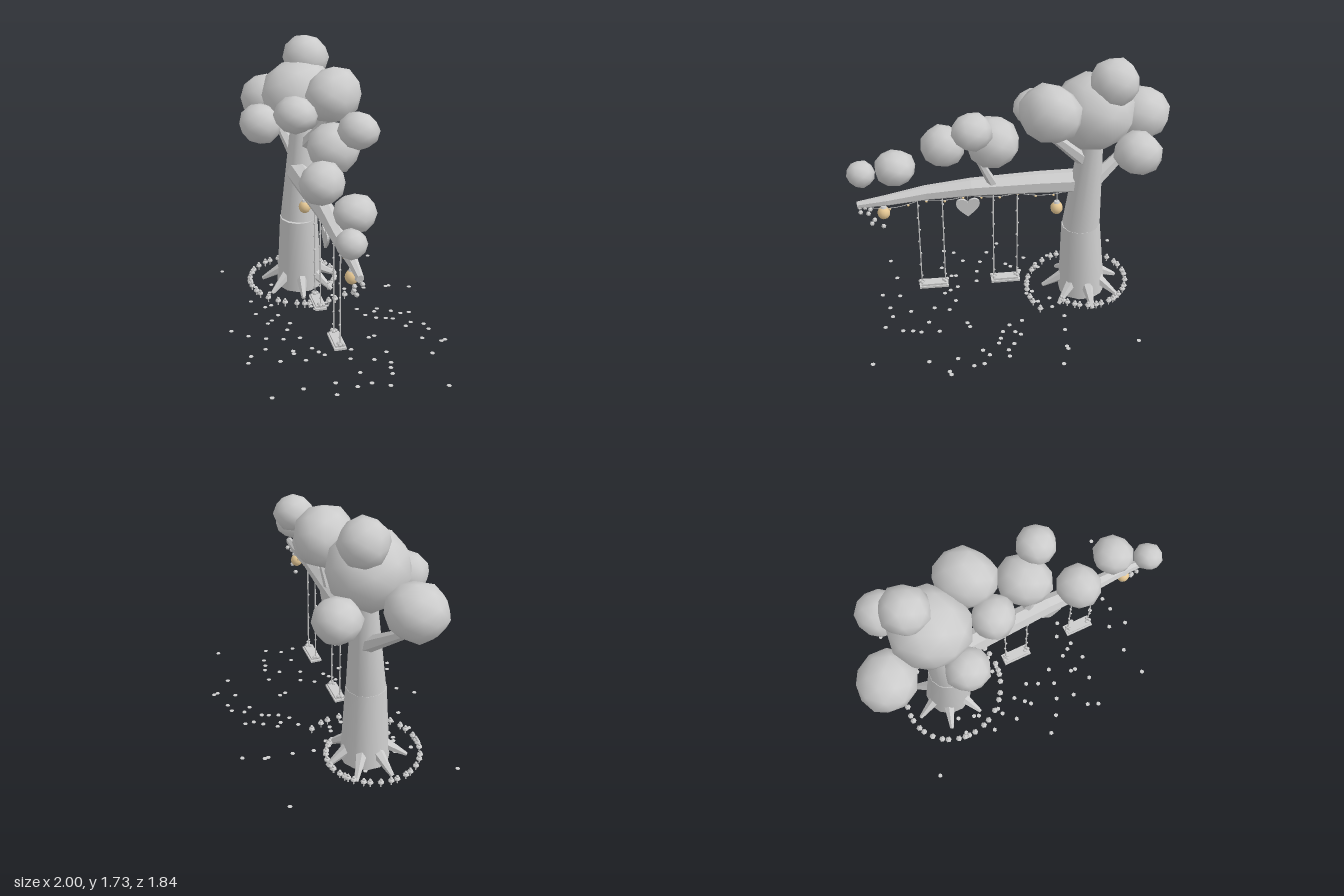
import * as THREE from 'three';
import { mergeVertices } from 'three/addons/utils/BufferGeometryUtils.js';

const V = (x, y, z) => new THREE.Vector3(x, y, z);
const GOLDEN = 2.39996;

export function createModel() {
  const grey = new THREE.MeshStandardMaterial({ color: 0xcccccc });
  grey.name = 'soft grey';
  const amber = new THREE.MeshStandardMaterial({ color: 0xe8ca96 });
  amber.name = 'lantern amber';

  const tree = new THREE.Group();
  tree.name = 'swingTree';

  const add = (name, geo, mat = grey, pos = null, parent = tree) => {
    const m = new THREE.Mesh(geo, mat);
    m.name = name;
    if (pos) m.position.copy(pos);
    parent.add(m);
    return m;
  };
  const group = (name) => {
    const g = new THREE.Group();
    g.name = name;
    tree.add(g);
    return g;
  };
  const flat = (geo) => {
    const g = geo.index ? geo.toNonIndexed() : geo;
    g.computeVertexNormals();
    return g;
  };

  // Tapered limb between two points
  const limb = (name, a, b, ra, rb, sides = 6, parent = tree, faceted = true) => {
    const dir = b.clone().sub(a);
    const geo = new THREE.CylinderGeometry(rb, ra, dir.length(), sides);
    const m = add(name, faceted ? flat(geo) : geo, grey, a.clone().lerp(b, 0.5), parent);
    m.quaternion.setFromUnitVectors(V(0, 1, 0), dir.normalize());
    return m;
  };

  // Faceted sweep with its own radius at each point, closed at both ends
  const sweep = (points, radii, sides) => {
    const pos = [], idx = [], n = points.length;
    points.forEach((p, i) => {
      const d = points[Math.min(i + 1, n - 1)].clone().sub(points[Math.max(i - 1, 0)]).normalize();
      const side = d.clone().cross(V(0, 1, 0)).normalize();
      const up = side.clone().cross(d);
      for (let j = 0; j < sides; j++) {
        const t = (j / sides) * Math.PI * 2;
        const q = p.clone().addScaledVector(side, Math.cos(t) * radii[i]).addScaledVector(up, Math.sin(t) * radii[i]);
        pos.push(q.x, q.y, q.z);
      }
    });
    const first = pos.length / 3, last = (n - 1) * sides;
    pos.push(...points[0].toArray(), ...points[n - 1].toArray());
    for (let j = 0; j < sides; j++) {
      const k = (j + 1) % sides;
      for (let i = 0; i < n - 1; i++) {
        const a = i * sides + j, b = i * sides + k;
        idx.push(a, a + sides, b, b, a + sides, b + sides);
      }
      idx.push(first, j, k, first + 1, last + k, last + j);
    }
    const g = new THREE.BufferGeometry();
    g.setAttribute('position', new THREE.Float32BufferAttribute(pos, 3));
    g.setIndex(idx);
    return flat(g);
  };

  // Trunk in two lengths
  limb('lowerTrunk', V(-0.425, 0.02, -0.31), V(-0.413, 0.535, -0.29), 0.155, 0.125, 12, tree, false);
  limb('upperTrunk', V(-0.413, 0.53, -0.292), V(-0.41, 1.25, -0.345), 0.122, 0.068, 12, tree, false);

  // Roots
  const roots = group('roots');
  for (let i = 0; i < 7; i++) {
    const t = (i / 7) * Math.PI * 2;
    const at = (r, y) => V(-0.425 + Math.cos(t) * r, y, -0.31 + Math.sin(t) * r);
    limb('root', at(0.115, 0.12), at(0.26, 0.025), 0.04, 0.013, 6, roots);
  }

  // Long bough and the smaller branches
  const boughPoints = [V(-0.40, 0.86, -0.27), V(-0.2, 0.87, -0.08), V(0.1, 0.876, 0.2), V(0.3, 0.857, 0.4), V(0.48, 0.83, 0.56), V(0.61, 0.81, 0.69)];
  add('bough', sweep(boughPoints, [0.078, 0.072, 0.06, 0.048, 0.035, 0.022], 7));
  const boughCurve = new THREE.CatmullRomCurve3(boughPoints);
  limb('leftBranch', V(-0.44, 0.88, -0.36), V(-0.77, 1.16, -0.52), 0.05, 0.025);
  limb('rightBranch', V(-0.39, 1.03, -0.32), V(-0.13, 1.3, -0.24), 0.048, 0.03);
  limb('boughBranch', V(0.01, 0.89, 0.09), V(0.14, 1.19, 0.15), 0.032, 0.014);

  // Foliage: slightly uneven low-poly balls, x y z then radii
  const foliage = group('foliage');
  const ball = new THREE.IcosahedronGeometry(1, 1);
  ball.deleteAttribute('normal');
  ball.deleteAttribute('uv');
  const ballGeo = mergeVertices(ball, 1e-3);
  [
    [-0.43, 1.37, -0.34, 0.245, 0.235, 0.25],
    [-0.45, 1.59, -0.455, 0.145, 0.145, 0.15],
    [-0.40, 1.215, -0.675, 0.14, 0.13, 0.145],
    [-0.77, 1.255, -0.47, 0.185, 0.165, 0.175],
    [-0.55, 1.235, -0.07, 0.135, 0.13, 0.135],
    [-0.25, 1.365, -0.02, 0.135, 0.115, 0.13],
    [-0.11, 1.455, -0.24, 0.17, 0.175, 0.195],
    [0.065, 1.24, 0.055, 0.16, 0.155, 0.17],
    [0.24, 1.385, 0.065, 0.122, 0.11, 0.122],
    [0.172, 1.15, 0.36, 0.132, 0.13, 0.14],
    [0.46, 1.083, 0.49, 0.125, 0.107, 0.125],
    [0.555, 1.007, 0.695, 0.085, 0.083, 0.09],
  ].forEach(([x, y, z, a, b, c], n) => {
    const g = ballGeo.clone(), p = g.attributes.position;
    for (let i = 0; i < p.count; i++) {
      const k = 1.01 + 0.035 * Math.sin(i * 2.7 + n * 1.9);
      p.setXYZ(i, p.getX(i) * k * a, p.getY(i) * k * b, p.getZ(i) * k * c);
    }
    g.computeVertexNormals();
    add('leafBall', g, grey, V(x, y, z), foliage);
  });

  // Swings, turned to run along the bough
  const bead = new THREE.IcosahedronGeometry(0.008, 0);
  const knob = new THREE.IcosahedronGeometry(0.013, 0);
  [[-0.055, 0.05], [0.284, 0.382]].forEach(([x, z]) => {
    const swing = group('swing');
    swing.position.set(x, 0, z);
    swing.rotation.y = -Math.PI / 4;
    add('seat', new THREE.BoxGeometry(0.165, 0.014, 0.06), grey, V(0, 0.152, 0), swing);
    add('seatBase', new THREE.BoxGeometry(0.19, 0.014, 0.075), grey, V(0, 0.138, 0), swing);
    for (const s of [-0.077, 0.077]) {
      limb('rope', V(s, 0.15, 0), V(s, 0.83, 0), 0.0045, 0.0045, 6, swing, false);
      for (let i = 0; i < 7; i++) add('ropeBud', bead, grey, V(s + (i % 2 ? 0.004 : -0.004), 0.21 + i * 0.092, 0.003), swing);
      for (const [dx, dz] of [[-0.012, 0.008], [0.012, 0.004], [0, -0.012]]) add('seatFlower', knob, grey, V(s + dx, 0.165, dz), swing);
    }
  });

  // Hanging heart
  const h = new THREE.Shape();
  h.moveTo(0, -0.068);
  h.bezierCurveTo(-0.035, -0.035, -0.075, -0.005, -0.075, 0.03);
  h.bezierCurveTo(-0.075, 0.07, -0.015, 0.075, 0, 0.035);
  h.bezierCurveTo(0.015, 0.075, 0.075, 0.07, 0.075, 0.03);
  h.bezierCurveTo(0.075, -0.005, 0.035, -0.035, 0, -0.068);
  const heartGeo = new THREE.ExtrudeGeometry(h, { depth: 0.016, bevelEnabled: false, curveSegments: 8 });
  heartGeo.translate(0, 0, -0.008);
  const heart = add('heart', heartGeo, grey, V(0.108, 0.722, 0.222));
  heart.rotation.y = -Math.PI / 4;
  limb('heartCord', V(0.108, 0.75, 0.222), V(0.108, 0.83, 0.222), 0.003, 0.003, 5);

  // Lanterns with cap and cord
  [[-0.293, 0.672, -0.18], [0.495, 0.738, 0.58]].forEach(([x, y, z]) => {
    const lantern = group('lantern');
    const glow = add('lanternGlow', new THREE.SphereGeometry(0.04, 12, 8), amber, V(x, y, z), lantern);
    glow.scale.y = 1.1;
    add('lanternCap', new THREE.CylinderGeometry(0.016, 0.022, 0.012, 8), grey, V(x, y + 0.045, z), lantern);
    limb('lanternCord', V(x, y + 0.045, z), V(x, 0.83, z), 0.003, 0.003, 5, lantern);
  });

  // Light string draped below the bough
  const lights = group('lightString');
  const drape = [];
  for (let i = 0; i <= 32; i++) {
    const t = i / 32, p = boughCurve.getPointAt(0.06 + t * 0.88);
    p.y -= 0.082 - 0.045 * t + 0.022 * Math.abs(Math.sin(t * Math.PI * 4));
    drape.push(p);
  }
  add('lightWire', new THREE.TubeGeometry(new THREE.CatmullRomCurve3(drape), 64, 0.0025, 4), grey, null, lights);
  for (let i = 2; i < 32; i += 3) add('lightBulb', new THREE.IcosahedronGeometry(0.008, 1), amber, drape[i].clone().add(V(0, -0.007, 0)), lights);

  // Blossoms trailing from the bough tip
  const tip = group('tipBlossoms');
  const blossom = new THREE.IcosahedronGeometry(0.016, 0);
  [[0.61, 0.765, 0.665], [0.575, 0.785, 0.66], [0.555, 0.73, 0.655], [0.56, 0.775, 0.63], [0.535, 0.685, 0.625], [0.555, 0.665, 0.63], [0.505, 0.64, 0.58], [0.6, 0.79, 0.68]]
    .forEach((p) => add('tipBlossom', blossom, grey, V(...p), tip));

  // Flowers around the trunk foot
  const flowers = group('groundFlowers');
  const petalRing = flat(new THREE.SphereGeometry(0.021, 6, 4));
  const heartBall = new THREE.IcosahedronGeometry(0.011, 0);
  for (let i = 0; i < 38; i++) {
    const t = i * GOLDEN, r = 0.24 + 0.17 * ((i * 0.618) % 1);
    const p = V(-0.435 + Math.cos(t) * r, 0.048, -0.31 + Math.sin(t) * r * 0.95);
    add('flowerPetals', petalRing, grey, p, flowers).scale.y = 0.6;
    add('flowerCentre', heartBall, grey, p.clone().setY(0.066), flowers);
    add('flowerStem', new THREE.CylinderGeometry(0.005, 0.005, 0.03, 5), grey, p.clone().setY(0.03), flowers);
  }

  // Fallen petals lying on the ground
  const fallen = group('fallenPetals');
  const disc = new THREE.CylinderGeometry(0.015, 0.015, 0.002, 6);
  const drop = (x, z) => add('fallenPetal', disc, grey, V(x, 0.001, z), fallen);
  [[-0.985, -0.16], [0.985, 0.27], [-0.21, -0.905], [0.16, 0.905]].forEach(([x, z]) => drop(x, z));
  for (let i = 0; i < 78; i++) {
    const t = i * GOLDEN + 0.5 * Math.sin(i * 5.3), r = 0.25 + 0.55 * ((i * 0.7549) % 1);
    drop(0.08 + Math.cos(t) * r, 0.06 + Math.sin(t) * r * 0.92);
  }
  return tree;
}
